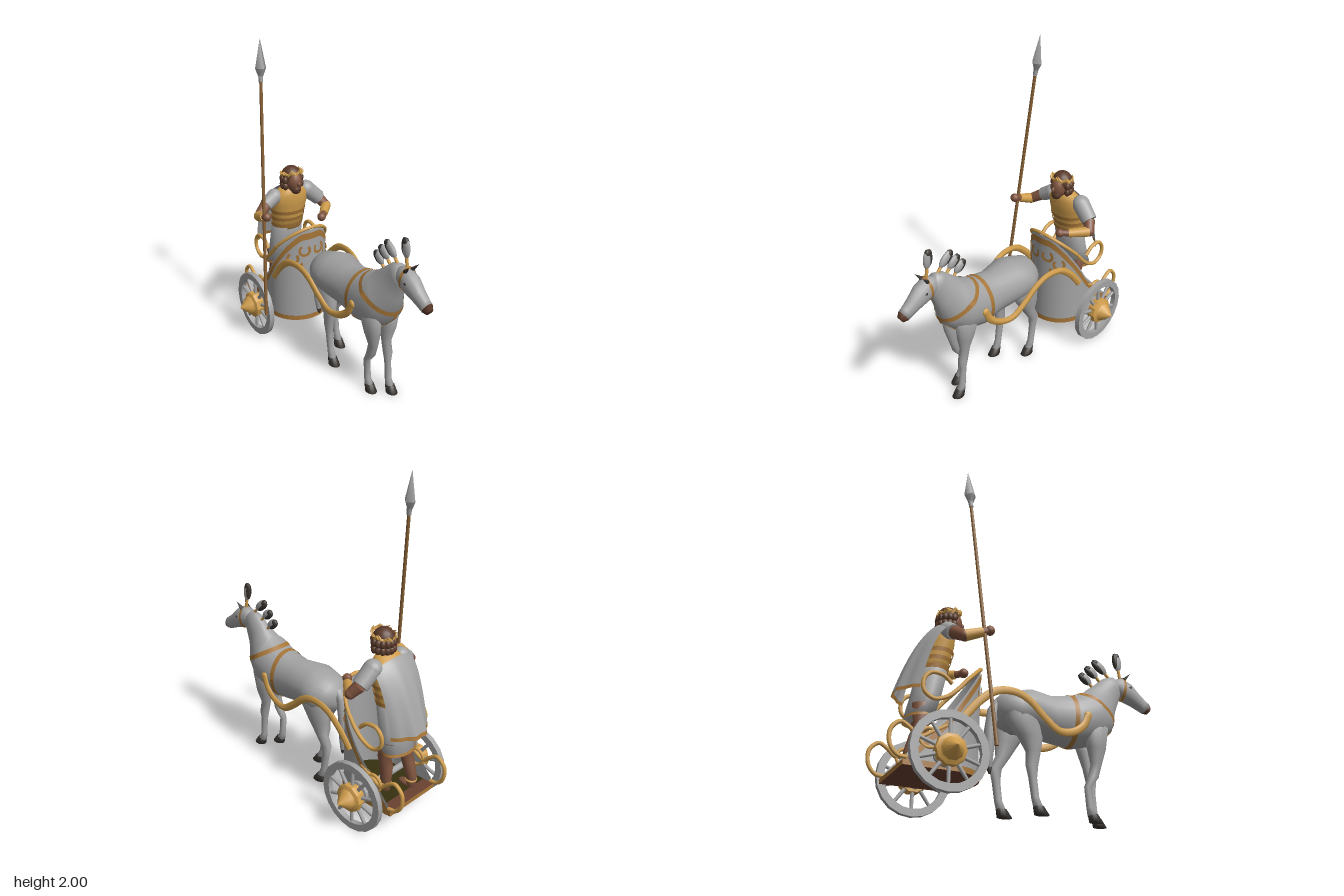
import * as THREE from 'three';
import { toCreasedNormals } from 'three/addons/utils/BufferGeometryUtils.js';

const V = (x, y, z) => new THREE.Vector3(x, y, z);
const color = (name, hex) => new THREE.MeshStandardMaterial({ name, color: hex, side: THREE.DoubleSide });

export function createModel() {
  const root = new THREE.Group();
  root.name = 'horseDrawnChariot';
  const grey = color('paleGrey', 0xa3a3a4), gold = color('gold', 0xcf9d4c), trim = color('ochreTrim', 0xa67537);
  const skin = color('skin', 0x80543f), hair = color('hairBrown', 0x5a3a2a), dark = color('darkHoof', 0x383430);
  const wood = color('spearWood', 0x8a6236), floorBrown = color('floorBrown', 0x6a4231), olive = color('floorOlive', 0x35300f);

  const group = (name, parent = root) => {
    const g = new THREE.Group();
    g.name = name;
    parent.add(g);
    return g;
  };
  const add = (parent, name, geo, mat, pos = [0, 0, 0], rot = [0, 0, 0], scale = [1, 1, 1]) => {
    const m = new THREE.Mesh(geo, mat);
    m.name = name;
    m.position.set(...pos);
    m.rotation.set(...rot);
    m.scale.set(...scale);
    parent.add(m);
    return m;
  };
  // Skin elliptical sections [x, y, z, rx, ry, tilt in degrees]; tilt 0 travels +z, 90 travels +y
  const loft = (sections, capped = true, n = 16) => {
    const s = capped ? [[...sections[0]], ...sections, [...sections.at(-1)]] : sections;
    if (capped) for (const e of [s[0], s.at(-1)]) e[3] = e[4] = 0.0005;
    const pos = [], idx = [];
    s.forEach(([x, y, z, rx, ry, deg], j) => {
      const a = deg * Math.PI / 180;
      for (let i = 0; i < n; i++) {
        const t = i / n * Math.PI * 2, u = Math.sin(t) * ry;
        pos.push(x + Math.cos(t) * rx, y + u * Math.cos(a), z - u * Math.sin(a));
        if (j === s.length - 1) continue;
        const p = j * n + i, q = j * n + (i + 1) % n;
        idx.push(p, q, q + n, p, q + n, p + n);
      }
    });
    const g = new THREE.BufferGeometry();
    g.setAttribute('position', new THREE.Float32BufferAttribute(pos, 3));
    g.setIndex(idx);
    g.computeVertexNormals();
    return g;
  };
  // Tapered rod between two points
  const rod = (parent, name, a, b, r1, r2, mat, sides = 12) => {
    const p = V(...a), q = V(...b), d = q.clone().sub(p);
    const m = add(parent, name, new THREE.CylinderGeometry(r2, r1, d.length(), sides), mat);
    m.position.copy(p).add(q).multiplyScalar(0.5);
    m.quaternion.setFromUnitVectors(V(0, 1, 0), d.normalize());
  };
  const ball = (parent, name, pos, scale, mat, rot) =>
    add(parent, name, new THREE.SphereGeometry(1, 16, 12), mat, pos, rot, scale);
  const tube = (pts, r) => new THREE.TubeGeometry(new THREE.CatmullRomCurve3(pts.map(p => V(...p))), 56, r, 8);

  // Horse body, head and tail
  const horse = group('horse');
  const body = add(horse, 'horseBody', loft([
    [0, .6, -.195, .05, .06, 0], [0, .595, -.16, .11, .1, 0], [0, .59, -.09, .147, .127, 0], [0, .607, 0, .153, .137, 0],
    [0, .59, .15, .122, .14, 0], [0, .595, .3, .135, .163, 0], [0, .64, .43, .14, .17, 12], [0, .69, .48, .11, .147, 34],
    [0, .785, .535, .065, .105, 38], [0, .86, .585, .05, .08, 42], [0, .885, .62, .042, .062, 32]], true, 24), grey);
  const head = add(horse, 'horseHead', loft([
    [0, .885, .585, .03, .04, -20], [0, .885, .63, .05, .064, -25], [0, .853, .695, .054, .068, -30],
    [0, .813, .76, .043, .05, -30], [0, .783, .81, .035, .043, -30], [0, .771, .832, .034, .04, -30]]), grey);
  add(horse, 'muzzle', loft([[0, .771, .832, .0345, .0405, -30], [0, .757, .855, .022, .025, -30]]), hair);
  add(horse, 'tail', loft([[0, .25, -.226, .018, .016, 90], [0, .34, -.23, .032, .028, 90], [0, .47, -.225, .035, .032, 90],
    [0, .6, -.205, .032, .035, 100], [0, .67, -.17, .025, .035, 120]]), grey);
  add(horse, 'tailTip', loft([[0, .215, -.222, .006, .006, 90], [0, .25, -.226, .0185, .0165, 90]]), dark);

  // Legs: the feet of each pair are staggered
  for (const s of [1, -1]) {
    const fz = s > 0 ? .485 : .405, hz = s > 0 ? -.125 : .03, fx = s * .048, hx = s * .075;
    add(horse, 'frontLeg', loft([
      [fx, .035, fz - .01, .026, .03, 90], [fx, .08, fz - .025, .02, .022, 90], [fx, .2, fz - .035, .02, .022, 90],
      [fx, .26, (fz + .41) / 2, .028, .032, 90], [fx, .34, .43, .028, .034, 90],
      [fx * 1.2, .43, .43, .046, .058, 90], [fx * 1.4, .56, .42, .055, .085, 90]]), grey);
    add(horse, 'frontHoof', loft([[fx, 0, fz + .012, .033, .042, 90], [fx, .045, fz - .008, .027, .031, 90]]), dark);
    add(horse, 'hindLeg', loft([
      [hx, .035, hz + .01, .025, .03, 90], [hx, .09, hz - .01, .02, .023, 90], [hx, .2, hz - .025, .021, .025, 90],
      [hx, .27, hz - .03, .027, .037, 90], [hx, .35, hz * .75 - .015, .033, .045, 90], [hx, .43, hz * .5 - .025, .05, .075, 90],
      [hx, .52, -.06, .063, .105, 90], [hx, .63, -.06, .06, .1, 90]]), grey);
    add(horse, 'hindHoof', loft([[hx, 0, hz + .03, .033, .045, 90], [hx, .045, hz + .01, .027, .032, 90]]), dark);
    add(horse, 'ear', new THREE.ConeGeometry(.017, .06, 8), dark, [s * .03, .95, .69], [.75, 0, -s * .2], [1, 1, .7]);
    ball(horse, 'eye', [s * .051, .872, .7], [.004, .007, .009], dark);
  }

  // Harness straps, laid on the surface by casting rays inward at it
  const harness = group('harness', horse);
  const caster = new THREE.Raycaster();
  const strap = (name, target, centre, across, up, half, from = 0, to = 360) => {
    const g = new THREE.PlaneGeometry(1, 2, 40, 1), p = g.attributes.position;
    const side = across.clone().cross(up).normalize().multiplyScalar(half);
    for (let i = 0; i < p.count; i++) {
      const a = THREE.MathUtils.degToRad(from + (p.getX(i) + .5) * (to - from));
      const dir = across.clone().multiplyScalar(Math.cos(a)).addScaledVector(up, Math.sin(a));
      const start = centre.clone().addScaledVector(side, p.getY(i)).addScaledVector(dir, .5);
      caster.set(start, dir.clone().negate());
      const hit = caster.intersectObject(target)[0].point.addScaledVector(dir, .005);
      p.setXYZ(i, hit.x, hit.y, hit.z);
    }
    g.computeVertexNormals();
    add(harness, name, g, trim);
  };
  strap('girth', body, V(0, .595, .27), V(1, 0, 0), V(0, 1, 0), .015);
  strap('chestStrap', body, V(0, .695, .44), V(1, 0, 0), V(0, .53, -.85), .014);
  strap('breastStrap', body, V(0, .6, .4), V(0, 0, 1), V(0, 1, 0), .012, -80, 8);
  strap('cheekStrap', head, V(0, .872, .66), V(1, 0, 0), V(0, 1, .1), .009);

  // Plumes along the mane: pale in front, dark behind
  const plumes = group('plumes', horse);
  for (const [y0, z0, y1, z1, len] of [[.94, .65, 1.05, .64, .06], [.915, .6, .992, .508, .06], [.88, .535, .947, .45, .05], [.83, .48, .894, .405, .048]]) {
    const tilt = Math.atan2(z1 - z0, y1 - y0), c = Math.cos(tilt), n = Math.sin(tilt);
    rod(plumes, 'plumeStem', [0, y0 - .03, z0 + .01], [0, y1 - len * .6 * c, z1 - len * .6 * n], .01, .009, gold, 8);
    ball(plumes, 'plumeLeaf', [0, y1, z1], [.018, len, .029], grey, [tilt, 0, 0]);
    ball(plumes, 'plumeBack', [0, y1 + n * .012 + c * .006, z1 - c * .012 + n * .006], [.0175, len * .92, .02], dark, [tilt, 0, 0]);
    ball(plumes, 'plumeTip', [0, y1 + len * .6 * c, z1 + len * .6 * n], [.0165, len * .42, .02], dark, [tilt, 0, 0]);
  }

  // Basket: a wall following a U-shaped plan, sloping down to the back
  const chariot = group('chariot');
  const plan = (t, off) => {
    const R = .195 + off, k = Math.abs(t);
    if (k < .6) return [Math.sin(t / .6 * Math.PI / 2) * R, -.5 + Math.cos(t / .6 * Math.PI / 2) * R];
    return [Math.sign(t) * R, -.5 - (k - .6) / .4 * .26];
  };
  const lerp = THREE.MathUtils.mapLinear;
  const height = z => Math.min(.79, z > -.53 ? lerp(z, -.315, -.53, .79, .45) : lerp(z, -.53, -.76, .45, .2));
  const wall = (name, off, low, high, mat) => {
    const g = new THREE.PlaneGeometry(2, 1, 60, 1), p = g.attributes.position;
    for (let i = 0; i < p.count; i++) {
      const t = p.getX(i), [x, z] = plan(t, off), h = height(plan(t, 0)[1]);
      p.setXYZ(i, x, p.getY(i) > 0 ? high(h) : low(h), z);
    }
    g.computeVertexNormals();
    add(chariot, name, g, mat);
  };
  wall('basketWall', 0, () => .15, h => h, grey);
  wall('upperBorder', .004, h => Math.max(.15, h - .065), h => Math.max(.16, h - .02), trim);
  wall('lowerBorder', .007, () => .14, () => .172, trim);
  const floorShape = (r, back) => new THREE.Shape().moveTo(-r, back).lineTo(-r, .5)
    .absarc(0, .5, r, Math.PI, Math.PI * 2, false).lineTo(r, back);
  add(chariot, 'platform', new THREE.ExtrudeGeometry(floorShape(.2, .78), { depth: .028, bevelEnabled: false, curveSegments: 24 })
    .rotateX(-Math.PI / 2), [floorBrown, trim], [0, .14, 0]);
  add(chariot, 'floorMat', new THREE.ShapeGeometry(floorShape(.19, .71), 24).rotateX(-Math.PI / 2), olive, [0, .172, 0]);
  const arc = [];
  for (let i = -6; i <= 6; i++) {
    const [x, z] = plan(i / 6 * .48, 0);
    arc.push([x, lerp(z, -.305, -.47, .805, .63), z]);
  }
  add(chariot, 'frontRail', tube(arc, .011), gold);

  for (const s of [1, -1]) {
    // Scrolled rail, rear handle and curls
    const side = pts => pts.map(([z, y]) => [s * .192, y, z]);
    add(chariot, 'sideRail', tube([arc[s > 0 ? 12 : 0], ...side([[-.5, .59], [-.56, .54], [-.63, .52], [-.685, .555],
      [-.69, .62], [-.65, .665], [-.58, .66], [-.53, .62]])], .012), gold);
    add(chariot, 'rearHandle', tube(side([[-.55, .38], [-.62, .34], [-.7, .3], [-.75, .34], [-.8, .365], [-.85, .32],
      [-.85, .24], [-.81, .19], [-.76, .18]]), .012), gold);
    add(chariot, 'sideCurl', new THREE.TorusGeometry(.052, .01, 8, 20), gold, [s * .192, .3, -.645], [0, Math.PI / 2, 0]);

    // Flat scroll ornaments on the wall
    for (const [t, y, r] of [[.1, .65, .036], [.25, .6, .036], [.18, .55, .022]]) {
      const [x, z] = plan(s * t, .005);
      add(chariot, 'wallScroll', new THREE.RingGeometry(r - .011, r + .007, 20, 1, s > 0 ? 2.4 : -4.16, 4.9), trim, [x, y, z],
        [0, s * t / .6 * Math.PI / 2, 0]);
    }

    // Draught pole, flat in x and tapering in towards the horse
    const g = tube([[0, .6, .335], [0, .53, .3], [0, .475, .22], [0, .465, .13], [0, .53, .03], [0, .605, -.06],
      [0, .64, -.15], [0, .625, -.27], [0, .55, -.37], [0, .44, -.46]], .023);
    const p = g.attributes.position;
    for (let i = 0; i < p.count; i++) {
      const k = THREE.MathUtils.clamp((p.getZ(i) + .35) / .68, 0, 1);
      p.setX(i, s * (.197 - .057 * k ** 1.6) + p.getX(i) * .55);
    }
    g.computeVertexNormals();
    add(chariot, 'draughtPole', g, gold);
    ball(chariot, 'poleEnd', [s * .139, .6, .335], [.013, .024, .024], gold);

    // Wheel with rim, spokes and pointed hub
    const wheel = group('wheel', chariot);
    wheel.position.set(s * .284, .215, -.565);
    if (s < 0) wheel.rotation.y = Math.PI;
    const spin = (name, pts, n, mat) => add(wheel, name, toCreasedNormals(
      new THREE.LatheGeometry(pts.map(q => new THREE.Vector2(...q)), n), .6).rotateZ(-Math.PI / 2), mat);
    spin('rim', [[.172, -.017], [.215, -.017], [.215, .017], [.172, .017], [.172, -.017]], 20, grey);
    spin('hub', [[0, -.02], [.08, -.02], [.088, .02], [.085, .035], [.064, .045], [.056, .06], [0, .12]], 10, gold);
    spin('innerHub', [[0, -.065], [.07, -.065], [.07, -.045], [.03, -.035], [.03, 0]], 12, grey);
    for (let i = 0; i < 10; i++) {
      const a = i / 10 * Math.PI * 2, c = Math.cos(a), n = Math.sin(a);
      rod(wheel, 'spoke', [0, c * .05, n * .05], [0, c * .18, n * .18], .012, .01, grey, 8);
    }
  }
  rod(chariot, 'axle', [-.28, .215, -.565], [.28, .215, -.565], .02, .02, grey);

  // Driver: tunic, breastplate and scaled waist
  const driver = group('driver');
  add(driver, 'tunicSkirt', loft([[-.01, .46, -.652, .12, .078, 90], [-.01, .58, -.62, .112, .082, 90], [-.01, .74, -.59, .104, .085, 90]]), grey);
  add(driver, 'skirtTrim', loft([[-.01, .445, -.656, .124, .081, 90], [-.01, .462, -.652, .121, .079, 90]], false), trim);
  add(driver, 'breastplate', loft([[-.01, .72, -.59, .1, .082, 90], [-.01, .79, -.58, .106, .083, 90], [-.01, .9, -.558, .126, .085, 90],
    [-.01, .97, -.545, .13, .075, 90], [-.01, 1.015, -.533, .07, .05, 90]]), gold);
  for (const [y, z, r] of [[.735, -.589, .107], [.785, -.581, .112], [.835, -.572, .116]])
    add(driver, 'scaleBand', loft([[-.01, y, z, r, r - .02, 90], [-.01, y + .025, z + .004, r + .003, r - .018, 90]], false), trim);

  // Head, curled hair and laurel wreath
  rod(driver, 'neck', [-.01, .98, -.54], [-.015, 1.06, -.505], .045, .038, skin);
  ball(driver, 'face', [-.015, 1.068, -.482], [.05, .072, .06], skin);
  ball(driver, 'nose', [-.015, 1.065, -.422], [.01, .016, .014], skin);
  ball(driver, 'hair', [-.015, 1.095, -.509], [.064, .07, .066], hair);
  ball(driver, 'beard', [-.015, 1.022, -.456], [.034, .034, .032], hair);
  for (let row = 0; row < 2; row++) for (let i = 0; i < 9; i++) {
    const a = Math.PI * (.42 + i / 8 * 1.16);
    ball(driver, 'curl', [-.015 + Math.sin(a) * .06, 1.08 - row * .04, -.505 + Math.cos(a) * .06], [.019, .026, .019], hair);
  }
  const wreath = group('wreath', driver);
  wreath.position.set(-.015, 1.118, -.503);
  wreath.rotation.x = -.2;
  add(wreath, 'wreathBand', new THREE.TorusGeometry(.065, .007, 6, 24).rotateX(Math.PI / 2), gold);
  for (let i = 0; i < 16; i++) {
    const a = i / 16 * Math.PI * 2, tilt = i % 2 ? .7 : 2.3;
    add(wreath, 'wreathLeaf', new THREE.ConeGeometry(.014, .042, 5), gold,
      [Math.sin(a) * .069, i % 2 ? .012 : -.004, Math.cos(a) * .069], [0, a, tilt], [1, 1, .5]);
  }

  // Arms: shoulder, sleeve end, elbow, wrist, hand, sleeve radius
  for (const [sh, sl, el, wr, ha, r] of [
    [[-.125, .965, -.545], [-.195, .925, -.535], [-.268, .88, -.5], [-.285, .915, -.4], [-.288, .93, -.36], .05],
    [[.115, .965, -.545], [.2, .885, -.53], [.235, .835, -.49], [.15, .83, -.39], [.11, .832, -.352], .056]]) {
    const arm = group('arm', driver);
    ball(arm, 'shoulder', sh, [r, r, r], grey);
    rod(arm, 'sleeve', sh, sl, r, r - .006, grey);
    rod(arm, 'upperArm', sl, el, .038, .032, skin);
    ball(arm, 'elbow', el, [.033, .033, .033], skin);
    rod(arm, 'bracer', el, wr, .034, .027, gold);
    rod(arm, 'wrist', wr, ha, .021, .021, skin);
    ball(arm, 'hand', ha, [.028, .028, .028], skin);
  }

  // Legs and sandals
  for (const [x, zHip, zKnee, zFoot] of [[-.075, -.655, -.655, -.705], [.055, -.64, -.6, -.62]]) {
    add(driver, 'leg', loft([[x, .18, zFoot, .025, .028, 90], [x, .25, zFoot, .03, .036, 90], [x, .34, zKnee - .02, .036, .042, 90],
      [x, .4, zKnee, .036, .04, 90], [x, .52, zHip, .05, .055, 90]]), skin);
    ball(driver, 'foot', [x, .188, zFoot + .03], [.028, .02, .06], skin);
    add(driver, 'sandalStrap', new THREE.TorusGeometry(.03, .007, 6, 16).rotateX(Math.PI / 2), gold, [x, .225, zFoot]);
  }

  // Cape hanging below the gold collar and wrapping the flanks, with a trimmed hem
  const cape = (name, v0, v1, rows, mat) => {
    const g = new THREE.PlaneGeometry(2, 1, 24, rows), p = g.attributes.position;
    for (let i = 0; i < p.count; i++) {
      const u = p.getX(i), v = lerp(p.getY(i), .5, -.5, v0, v1);
      p.setXYZ(i, -.025 + u * (.165 - .01 * v), 1.035 - .46 * v - .05 * u * u * (1 - v),
        -.535 - .27 * Math.sqrt(v) + (.03 + .07 * v) * u * u + .006 * v * Math.cos(u * 11));
    }
    g.computeVertexNormals();
    add(driver, name, g, mat);
  };
  cape('cape', .055, .95, 18, grey);
  cape('capeHem', .95, 1, 1, trim);

  // Spear
  const spear = group('spear');
  rod(spear, 'spearShaft', [-.338, .26, -.33], [-.228, 1.78, -.475], .011, .01, wood, 8);
  rod(spear, 'spearCollar', [-.23, 1.75, -.472], [-.226, 1.8, -.478], .013, .016, grey, 8);
  rod(spear, 'spearHeadBase', [-.228, 1.77, -.475], [-.224, 1.83, -.48], .012, .037, grey, 4);
  rod(spear, 'spearHeadTip', [-.224, 1.83, -.48], [-.214, 2, -.494], .037, .001, grey, 4);
  return root;
}
